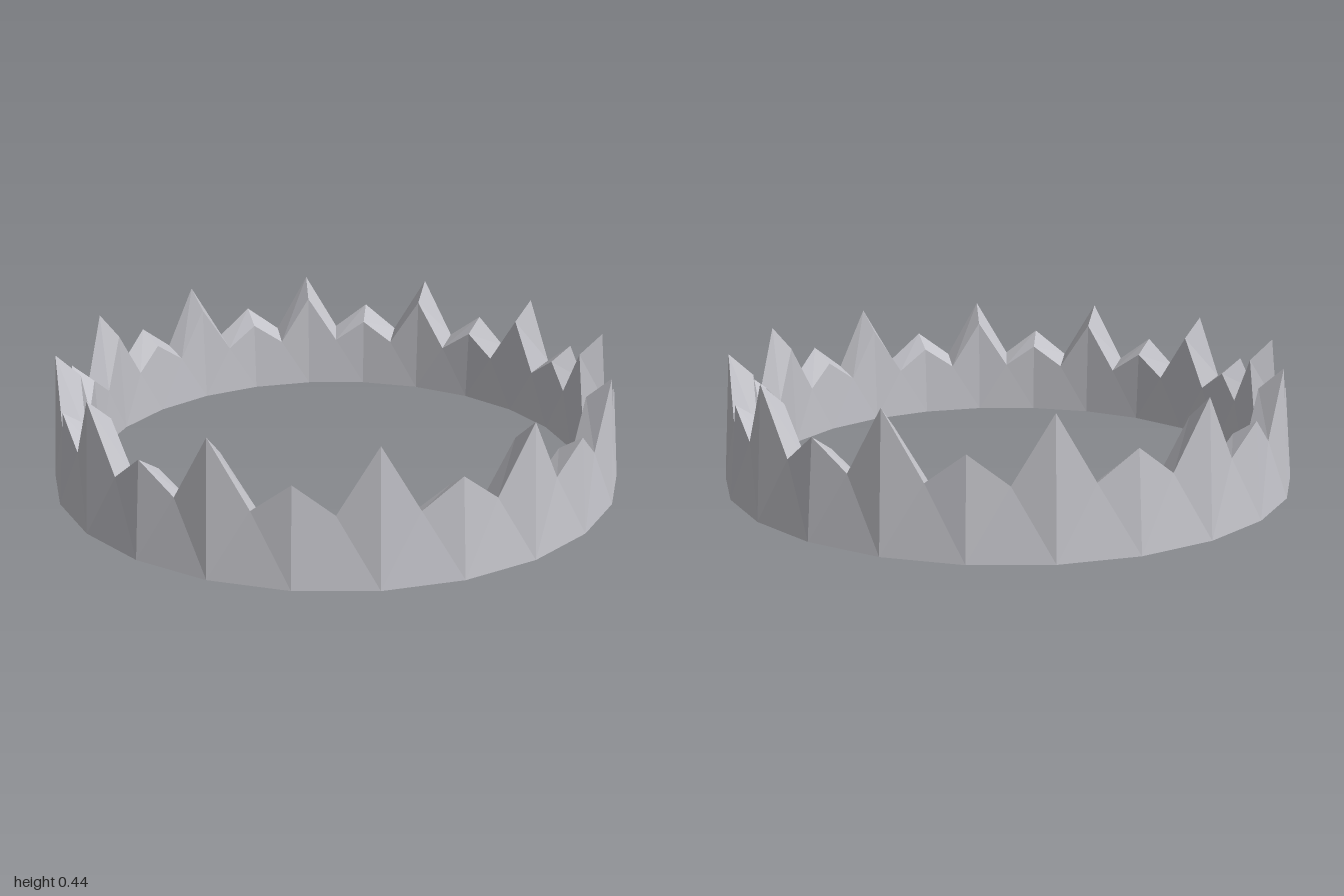
import * as THREE from 'three';

const POINTS = 12; // large points, with a small one between each pair
const HALF = Math.PI / (POINTS * 2);
const TALL = 0.44, SHORT = 0.32, VALLEY = 0.225;
const LIP = 0.83; // inner rim height relative to the outer rim

const polar = (radius, angle, y) =>
  new THREE.Vector3(radius * Math.sin(angle), y, radius * Math.cos(angle));

function makeMesh(name, triangles, material) {
  const geometry = new THREE.BufferGeometry().setFromPoints(triangles);
  geometry.computeVertexNormals();
  const mesh = new THREE.Mesh(geometry, material);
  mesh.name = name;
  return mesh;
}

// One side of the band: base edge, two tips and the notch between them
function sector(i, baseRadius, topRadius, heightScale) {
  const a = i * HALF * 2, b = a + HALF * 2;
  const [ha, hb] = i % 2 ? [SHORT, TALL] : [TALL, SHORT];
  return {
    baseA: polar(baseRadius, a, 0),
    baseB: polar(baseRadius, b, 0),
    tipA: polar(topRadius, a, ha * heightScale),
    tipB: polar(topRadius, b, hb * heightScale),
    notch: polar(topRadius * Math.cos(HALF), a + HALF, VALLEY * heightScale),
  };
}

export function createModel() {
  const silver = new THREE.MeshStandardMaterial({ color: 0xc2c2c8, flatShading: true });
  silver.name = 'silver';

  const outer = [], inner = [], rim = [], base = [];
  const quad = (list, a, b, c, d) => list.push(a, b, c, a, c, d);

  for (let i = 0; i < POINTS * 2; i++) {
    const o = sector(i, 1, 0.968, 1);
    const n = sector(i, 0.88, 0.888, LIP);

    // Outer wall faces outwards, inner wall faces the centre
    outer.push(o.baseA, o.baseB, o.notch, o.baseA, o.notch, o.tipA, o.baseB, o.tipB, o.notch);
    inner.push(n.baseB, n.baseA, n.notch, n.baseA, n.tipA, n.notch, n.baseB, n.notch, n.tipB);

    // Sloping zigzag rim and flat underside
    quad(rim, o.tipA, o.notch, n.notch, n.tipA);
    quad(rim, o.notch, o.tipB, n.tipB, n.notch);
    quad(base, o.baseB, o.baseA, n.baseA, n.baseB);
  }

  const crown = new THREE.Group();
  crown.name = 'crown';
  crown.add(
    makeMesh('outerWall', outer, silver),
    makeMesh('innerWall', inner, silver),
    makeMesh('pointedRim', rim, silver),
    makeMesh('underside', base, silver),
  );
  return crown;
}
